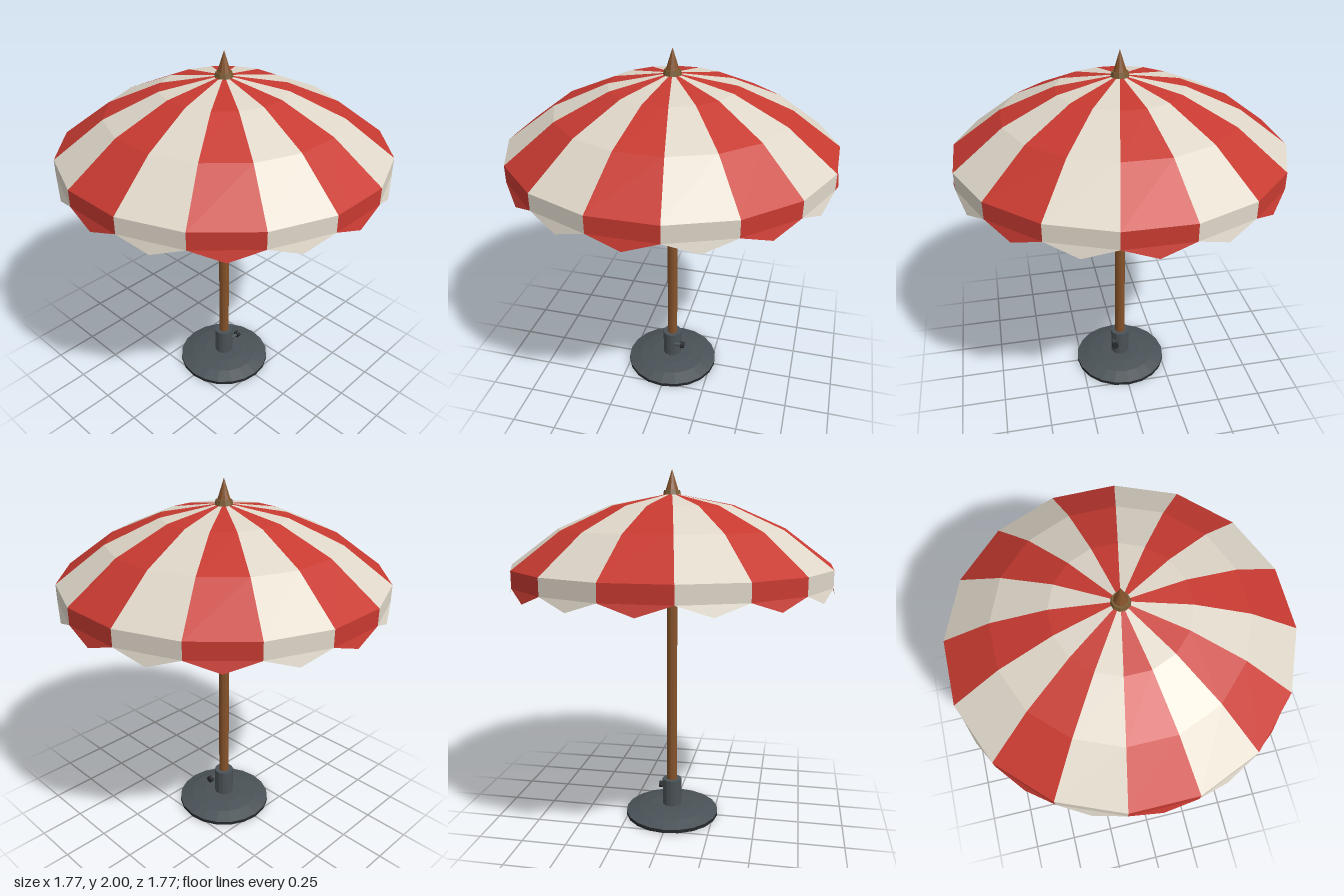
import * as THREE from 'three';

const mat = (name, color, side = THREE.FrontSide) => {
  const m = new THREE.MeshStandardMaterial({ color, flatShading: true, side });
  m.name = name;
  return m;
};

export function createModel() {
  const red = mat('red fabric', 0xc73a31, THREE.DoubleSide);
  const cream = mat('cream fabric', 0xded6c8, THREE.DoubleSide);
  const lining = mat('lining taupe', 0x948b79, THREE.DoubleSide);
  const wood = mat('wood brown', 0x84522a);
  const brass = mat('dull brass', 0x7a5c34);
  const iron = mat('iron grey', 0x4a5257);
  const darkIron = mat('dark iron', 0x26292c);

  const model = new THREE.Group();
  model.name = 'parasol';
  const add = (name, geometry, material, x = 0, y = 0, z = 0, parent = model) => {
    const mesh = new THREE.Mesh(geometry, material);
    mesh.name = name;
    mesh.position.set(x, y, z);
    parent.add(mesh);
    return mesh;
  };
  const lathe = (points, sides) =>
    new THREE.LatheGeometry(points.map(([r, y]) => new THREE.Vector2(r, y)), sides);

  // Canopy: sixteen wedge panels, each with a pointed hanging flap
  const SIDES = 16, STEP = (Math.PI * 2) / SIDES;
  const profile = [[0.002, 1.873], [0.335, 1.81], [0.622, 1.685], [0.885, 1.49]];
  const at = (r, y, a) => [r * Math.sin(a), y, r * Math.cos(a)];
  const fromTriangles = (tris) => {
    const g = new THREE.BufferGeometry();
    g.setAttribute('position', new THREE.Float32BufferAttribute(tris.flat(2), 3));
    g.computeVertexNormals();
    return g;
  };
  const quad = (a, b, c, d) => [[a, b, c], [a, c, d]];

  const canopy = new THREE.Group();
  canopy.name = 'canopy';
  model.add(canopy);
  for (let i = 0; i < SIDES; i++) {
    const mid = i * STEP, a0 = mid - STEP / 2, a1 = mid + STEP / 2;
    const fabric = i % 2 ? cream : red;
    const panel = [];
    for (let k = 0; k < profile.length - 1; k++) {
      const [r0, y0] = profile[k], [r1, y1] = profile[k + 1];
      panel.push(...quad(at(r1, y1, a0), at(r1, y1, a1), at(r0, y0, a1), at(r0, y0, a0)));
    }
    add('canopyPanel', fromTriangles(panel), fabric, 0, 0, 0, canopy);

    const low0 = at(0.885, 1.4, a0), low1 = at(0.885, 1.4, a1);
    const flap = quad(low0, low1, at(0.885, 1.49, a1), at(0.885, 1.49, a0));
    flap.push([low0, at(0.885, 1.343, mid), low1]);
    add('canopyFlap', fromTriangles(flap), fabric, 0, 0, 0, canopy);
  }

  // Shallow cone lining under the canopy
  add('canopyLining', new THREE.ConeGeometry(0.882, 0.255, SIDES, 1, true, STEP / 2),
    lining, 0, 1.6155, 0, canopy);

  // Pole, collar and finial
  add('pole', new THREE.CylinderGeometry(0.03, 0.03, 1.75, 12), wood, 0, 0.925, 0);
  add('finialCollar', new THREE.CylinderGeometry(0.043, 0.05, 0.03, 10), brass, 0, 1.875, 0);
  add('finial', new THREE.ConeGeometry(0.036, 0.115, 10), wood, 0, 1.9425, 0);

  // Weighted base: dark foot plate with a sloping cover
  add('footPlate', new THREE.CylinderGeometry(0.274, 0.274, 0.02, 20), darkIron, 0, 0.01, 0);
  add('baseCover', lathe([[0.274, 0.02], [0.2, 0.044], [0.12, 0.056], [0.03, 0.058]], 20), iron);

  // Sleeve holding the pole, with a clamp screw on one side
  add('sleeve', new THREE.CylinderGeometry(0.056, 0.056, 0.165, 14), iron, 0, 0.1325, 0);
  const stem = add('clampStem', new THREE.CylinderGeometry(0.01, 0.01, 0.05, 8), iron, 0.045, 0.15, 0.045);
  const knob = add('clampKnob', new THREE.CylinderGeometry(0.02, 0.02, 0.022, 8), darkIron, 0.074, 0.15, 0.045);
  stem.rotation.z = knob.rotation.z = -Math.PI / 2;

  return model;
}
